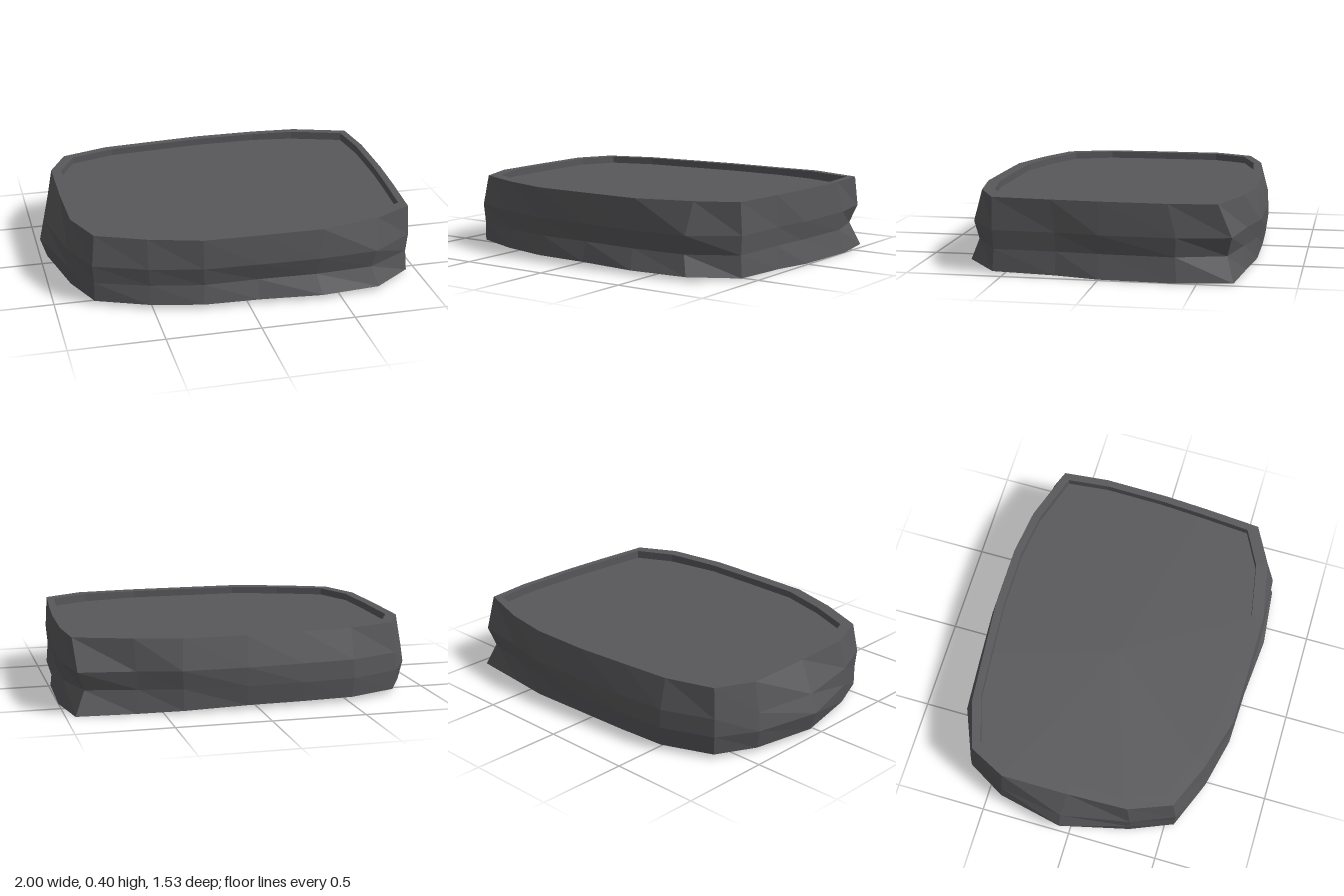
import * as THREE from 'three';

// Columns round the outline: bottom x, z; bulge at the two middle heights; top x, z
const COLUMNS = [
  [-0.965, -0.05, 0.035, 0.0, -0.88, -0.03],
  [-0.90, -0.40, 0.025, 0.01, -0.88, -0.40],
  [-0.79, -0.61, 0.015, 0.01, -0.78, -0.60],
  [-0.52, -0.72, 0.015, 0.01, -0.52, -0.685],
  [-0.24, -0.74, 0.015, 0.01, -0.24, -0.71],
  [0.06, -0.75, 0.015, 0.02, 0.06, -0.735],
  [0.40, -0.75, 0.0, 0.02, 0.40, -0.735],
  [0.64, -0.715, -0.02, 0.0, 0.65, -0.70],
  [0.95, -0.68, -0.065, -0.02, 0.95, -0.60],
  [1.0, -0.40, -0.03, -0.015, 0.975, -0.35],
  [0.99, 0.0, -0.03, -0.01, 0.97, 0.0],
  [0.955, 0.23, -0.015, -0.005, 0.955, 0.25],
  [0.94, 0.56, -0.01, 0.0, 0.93, 0.56],
  [0.72, 0.735, -0.05, -0.02, 0.72, 0.67],
  [0.40, 0.765, -0.055, -0.025, 0.40, 0.727],
  [0.06, 0.735, -0.03, 0.0, 0.06, 0.725],
  [-0.24, 0.725, -0.02, 0.0, -0.24, 0.72],
  [-0.52, 0.66, -0.015, 0.0, -0.52, 0.64],
  [-0.79, 0.55, 0.0, 0.01, -0.78, 0.53],
  [-0.885, 0.32, 0.01, 0.01, -0.87, 0.30],
];
const N = COLUMNS.length;

// The underside dips slightly toward the back right corner
const bottomY = (x, z) => 0.025 - 0.022 * THREE.MathUtils.smoothstep(x - 0.4 * z, 0.35, 1.15);
const topY = (x) => 0.393 + 0.007 * THREE.MathUtils.smoothstep(x, 0.4, 0.7);

// Point pushed outward from the bottom outline
function bulge([x, z], amount, y) {
  const k = 1 + amount / Math.hypot(x, z);
  return [x * k, y, z * k];
}

// Lip follows the outer edge, drawn inward
const inset = (x, z, y) => [(x - 0.2) * 0.95 + 0.2, y, (z + 0.15) * 0.925 - 0.15];

function flatGeometry(points) {
  const geometry = new THREE.BufferGeometry();
  geometry.setAttribute('position', new THREE.Float32BufferAttribute(points.flat(), 3));
  geometry.computeVertexNormals();
  return geometry;
}

// Skin a list of closed rings
function skin(rings) {
  const points = [];
  for (let r = 0; r < rings.length - 1; r++) {
    for (let i = 0; i < N; i++) {
      const j = (i + 1) % N;
      const a = rings[r][i], b = rings[r][j], c = rings[r + 1][j], d = rings[r + 1][i];
      points.push(a, c, b, a, d, c);
    }
  }
  return flatGeometry(points);
}

// Fill one ring with a fan
function cap(ring, up) {
  const centre = [0, ring.reduce((sum, p) => sum + p[1], 0) / N, 0];
  const points = [];
  ring.forEach((p, i) => {
    const q = ring[(i + 1) % N];
    points.push(centre, up ? q : p, up ? p : q);
  });
  return flatGeometry(points);
}

export function createModel() {
  const group = new THREE.Group();
  const stone = new THREE.MeshStandardMaterial({ color: 0x58585b, flatShading: true });
  stone.name = 'dark grey stone';

  const bottom = COLUMNS.map(([x, z]) => [x, bottomY(x, z), z]);
  const lower = COLUMNS.map((c) => bulge(c, c[2], 0.13));
  const middle = COLUMNS.map((c) => bulge(c, c[3], 0.23));
  const top = COLUMNS.map((c) => [c[4], topY(c[4]), c[5]]);
  const lip = COLUMNS.map((c) => inset(c[4], c[5], topY(c[4])));
  const floor = COLUMNS.map((c) => inset(c[4], c[5], 0.355));

  const add = (name, geometry) => {
    const mesh = new THREE.Mesh(geometry, stone);
    mesh.name = name;
    group.add(mesh);
  };
  add('outerWall', skin([bottom, lower, middle, top]));
  add('rim', skin([top, lip, floor]));
  add('recessedTop', cap(floor, true));
  add('underside', cap(bottom, false));
  return group;
}
